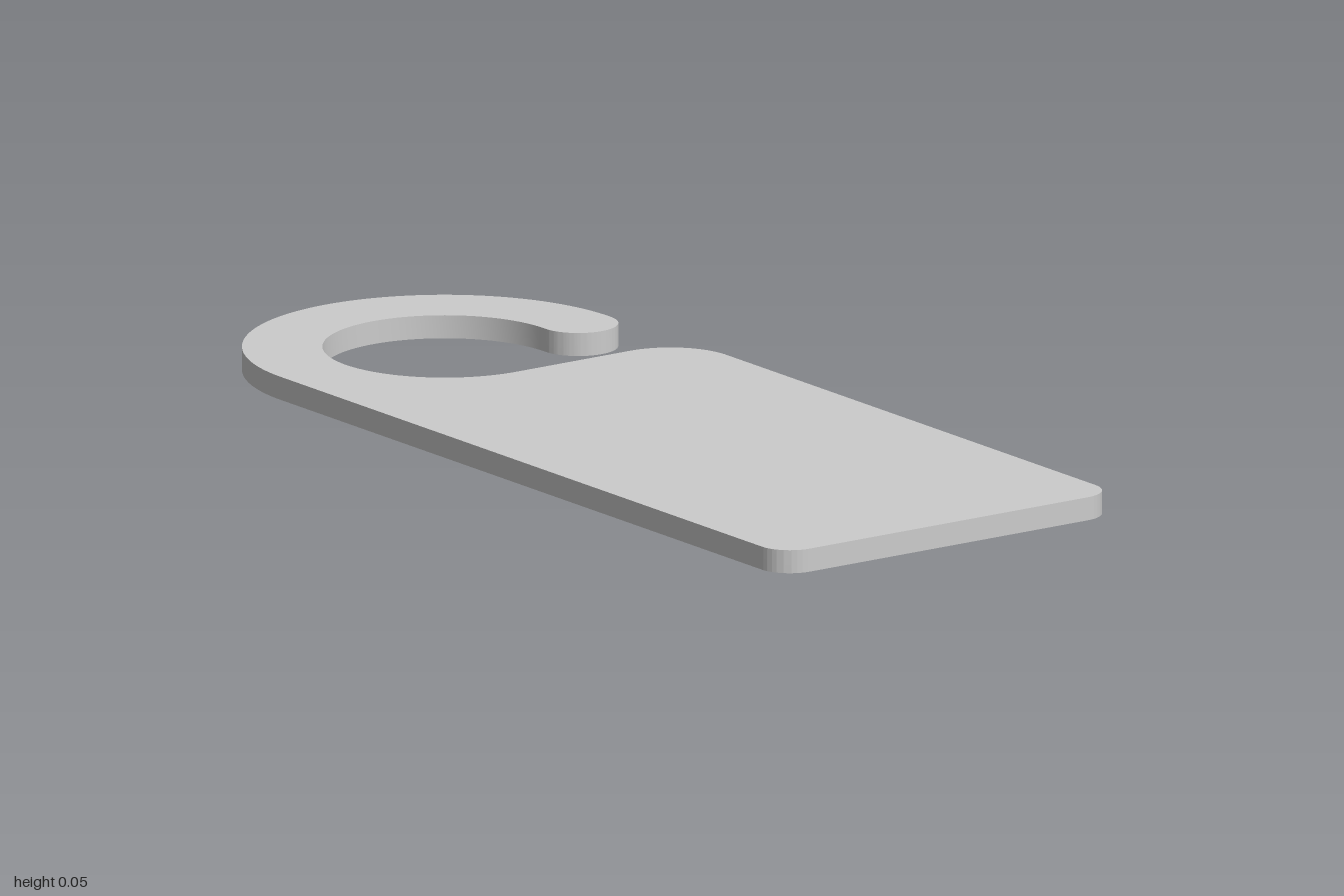
import * as THREE from 'three';
import { toCreasedNormals } from 'three/addons/utils/BufferGeometryUtils.js';

export function createModel() {
  const group = new THREE.Group();
  group.name = 'doorHanger';

  const PI = Math.PI;
  const halfW = 0.389, thickness = 0.045;
  const outerR = 0.383, innerR = 0.231;       // hook ring
  const cx = -halfW + outerR, cy = 1 - outerR;
  const tipR = (outerR - innerR) / 2, tipY = cy - 0.006;
  const footR = 0.065, shoulderR = 0.13;      // plate corners
  const shoulderY = cy - innerR;

  // Outline, counter-clockwise; shape y becomes -z
  const s = new THREE.Shape();
  s.moveTo(-halfW + footR, -1);
  s.absarc(halfW - footR, -1 + footR, footR, -PI / 2, 0, false);
  s.absarc(halfW - shoulderR, shoulderY - shoulderR, shoulderR, 0, PI / 2, false);
  // Inside of the hook, then its rounded tip, then the outside
  s.absarc(cx, cy, innerR, 1.5 * PI, 0, true);
  s.absarc(cx + innerR + tipR, tipY, tipR, PI, 2 * PI, false);
  s.absarc(cx, cy, outerR, 0, PI, false);
  s.absarc(-halfW + footR, -1 + footR, footR, PI, 1.5 * PI, false);

  // Flat plate with smooth curved edges and sharp rims
  const geometry = new THREE.ExtrudeGeometry(s, { depth: thickness, bevelEnabled: false, curveSegments: 40 });
  geometry.rotateX(-PI / 2);
  const plate = new THREE.Mesh(
    toCreasedNormals(geometry, PI / 6),
    new THREE.MeshStandardMaterial({ color: 0xcccccc })
  );
  plate.name = 'hangerPlate';
  group.add(plate);
  return group;
}
